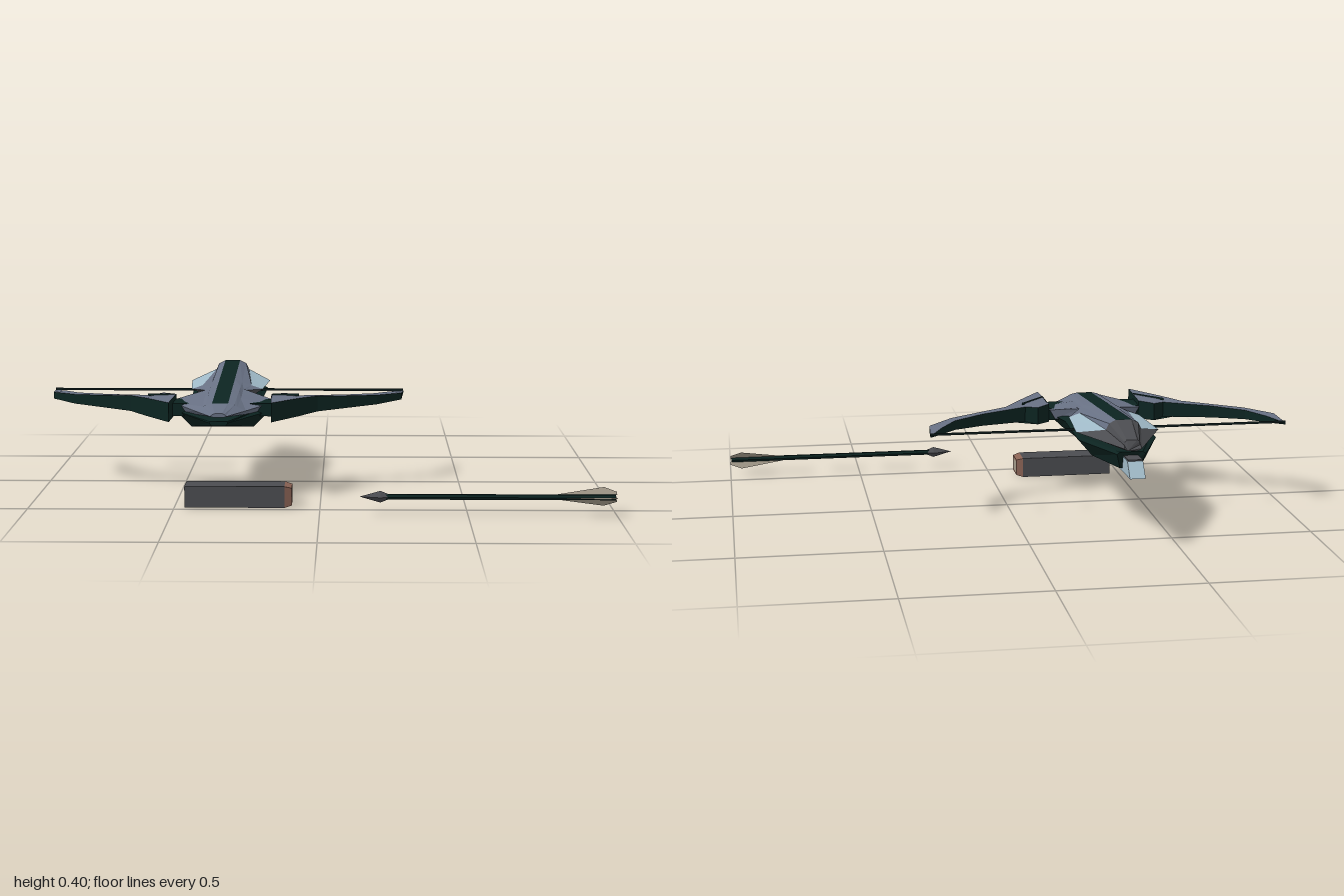
import * as THREE from 'three';

const mat = (name, color, side = THREE.FrontSide) => {
  const m = new THREE.MeshStandardMaterial({ color, side, flatShading: true });
  m.name = name;
  return m;
};

const CX = -0.35; // centre line of the crossbow

// Skin through cross-sections (counter-clockwise seen from the first one).
// pick(segment, strip) gives the material; flip reverses faces of mirrored parts.
function loft(name, rings, pick, startMat, endMat, flip = false) {
  const buckets = new Map();
  const tri = (m, a, b, c) => {
    if (!buckets.has(m)) buckets.set(m, []);
    buckets.get(m).push(...a, ...(flip ? c : b), ...(flip ? b : c));
  };
  const n = rings[0].length;
  for (let i = 0; i < rings.length - 1; i++) {
    for (let k = 0; k < n; k++) {
      const a = rings[i][k], b = rings[i][(k + 1) % n];
      const c = rings[i + 1][(k + 1) % n], d = rings[i + 1][k];
      const m = pick(i, k);
      tri(m, a, d, c);
      tri(m, a, c, b);
    }
  }
  const first = rings[0], last = rings[rings.length - 1];
  for (let k = 1; k < n - 1; k++) {
    tri(startMat, first[0], first[k], first[k + 1]);
    tri(endMat, last[0], last[k + 1], last[k]);
  }
  const group = new THREE.Group();
  group.name = name;
  for (const [m, pos] of buckets) {
    const g = new THREE.BufferGeometry();
    g.setAttribute('position', new THREE.Float32BufferAttribute(pos, 3));
    g.computeVertexNormals();
    const mesh = new THREE.Mesh(g, m);
    mesh.name = `${name} ${m.name}`;
    group.add(mesh);
  }
  return group;
}

// Mirrored ring from half a section listed top to bottom as [x, y, z?]
const symmetric = (z, half) => [
  ...half.slice().reverse().map(([x, y, pz = z]) => [CX + x, y, pz]),
  ...half.map(([x, y, pz = z]) => [CX - x, y, pz]),
];
// Strip number to level: -1 is the top strip, 0 the one below it, and so on
const level = (k, n) => (k < n ? n - 2 - k : k - n);

export function createModel() {
  const model = new THREE.Group();
  const dark = mat('dark green', 0x0c2421);
  const grey = mat('blue grey', 0x687184);
  const pale = mat('pale blue', 0xa0bac8);
  const iron = mat('iron grey', 0x4b4c50);
  const copper = mat('copper', 0x8a6355);
  const tan = mat('tan', 0xa39a8a, THREE.DoubleSide);
  const cord = mat('bowstring black', 0x0c1a1a, THREE.DoubleSide);

  const add = (name, geometry, material, parent = model) => {
    const mesh = new THREE.Mesh(geometry, material);
    mesh.name = name;
    parent.add(mesh);
    return mesh;
  };

  // Upper shell: stripe edge, ridge, panel edge, outer edge, underside
  const upper = [
    symmetric(0.41, [[0.012, 0.318], [0.02, 0.315], [0.025, 0.31], [0.03, 0.308], [0.02, 0.305]]),
    symmetric(0.33, [[0.028, 0.34], [0.05, 0.335], [0.06, 0.33], [0.09, 0.315], [0.07, 0.3]]),
    symmetric(0.2, [[0.028, 0.351], [0.052, 0.346], [0.065, 0.338], [0.17, 0.322], [0.15, 0.29]]),
    symmetric(0.12, [[0.028, 0.358], [0.054, 0.352], [0.065, 0.342], [0.17, 0.325], [0.15, 0.29]]),
    symmetric(0.04, [[0.028, 0.365], [0.055, 0.358], [0.065, 0.35], [0.075, 0.345], [0.06, 0.3]]),
    symmetric(-0.05, [[0.028, 0.372], [0.055, 0.362], [0.09, 0.35], [0.13, 0.336], [0.11, 0.327]]),
    symmetric(-0.38, [[0.028, 0.4], [0.052, 0.388], [0.062, 0.366], [0.148, 0.336, -0.28], [0.12, 0.327, -0.28]]),
    symmetric(-0.52, [[0.018, 0.362], [0.026, 0.355], [0.028, 0.345], [0.03, 0.335, -0.538], [0.02, 0.328, -0.538]]),
  ];
  model.add(loft('upper shell', upper, (i, k) => {
    const l = level(k, 5);
    if (l === 4) return dark;
    if (i === 6) return iron;
    if (l === -1) return i === 0 ? grey : dark;
    if (l === 2 && i === 5) return pale;
    return l === 3 && i > 3 ? iron : grey;
  }, grey, iron));

  // Lower hull
  const lower = [
    symmetric(0.41, [[0.03, 0.29], [0.032, 0.285], [0.025, 0.275]]),
    symmetric(0.21, [[0.14, 0.305], [0.165, 0.295], [0.11, 0.24]]),
    symmetric(0.04, [[0.11, 0.31], [0.128, 0.3], [0.09, 0.242]]),
    symmetric(-0.28, [[0.12, 0.315], [0.14, 0.308], [0.09, 0.25]]),
    symmetric(-0.49, [[0.04, 0.318, -0.51], [0.05, 0.31, -0.51], [0.035, 0.256]]),
  ];
  model.add(loft('lower hull', lower, () => dark, dark, dark));

  // Keel and rear stock, cut from a side profile
  const keel = new THREE.Shape([[-0.07, 0.23], [0.615, 0.25], [0.57, 0.3], [0.49, 0.3], [0.49, 0.27], [-0.07, 0.246]]
    .map(([x, y]) => new THREE.Vector2(x, y)));
  const keelGeo = new THREE.ExtrudeGeometry(keel, { depth: 0.054, bevelEnabled: false });
  keelGeo.translate(0, 0, -0.027).rotateY(Math.PI / 2);
  add('keel', keelGeo, pale).position.x = CX;
  add('stock top plate', new THREE.BoxGeometry(0.05, 0.006, 0.08).translate(CX, 0.302, -0.53), iron);

  // Bow limbs: front edge [u, z], rear edge [u, z], half height, from tip to root
  const limb = [
    [0.65, -0.168, 0.648, -0.168, 0.003],
    [0.64, -0.052, 0.6, -0.09, 0.012],
    [0.55, 0.036, 0.542, -0.008, 0.017],
    [0.44, 0.09, 0.43, 0.06, 0.022],
    [0.335, 0.135, 0.262, 0.124, 0.028],
    [0.27, 0.22, 0.22, 0.09, 0.032],
    [0.178, 0.345, 0.17, 0.135, 0.034],
  ];
  for (const s of [1, -1]) {
    const side = s > 0 ? 'left' : 'right';
    const rings = limb.map(([fu, fz, ru, rz, h]) => {
      const y = 0.311;
      return [[CX + s * fu, y - h, fz], [CX + s * ru, y - h, rz], [CX + s * ru, y + h, rz], [CX + s * fu, y + h, fz]];
    });
    model.add(loft(`${side} bow limb`, rings, (i, k) => (k === 2 ? grey : dark), dark, dark, s < 0));

    // Dark inlay at the root, laid on the limb
    const inlay = [0.349, 0.341].map((y) => [[0.27, 0.15], [0.175, 0.15], [0.175, 0.25]]
      .map(([u, z]) => [CX + s * u, y, z]));
    model.add(loft(`${side} limb inlay`, inlay.map((r) => r.reverse()), () => dark, dark, dark, s < 0));
    add(`${side} limb bracket`, new THREE.BoxGeometry(0.1, 0.045, 0.11).translate(CX + s * 0.15, 0.305, 0.19), dark);
  }

  // Bowstring, an upright ribbon between the limb tips
  add('bowstring', new THREE.PlaneGeometry(1.298, 0.009).translate(CX, 0.318, -0.165), cord);

  // Magazine with a bevelled end cap
  const rect = (x, hy, hz) => [[-1, 1], [-1, -1], [1, -1], [1, 1]]
    .map(([a, b]) => [x, 0.038 + a * hy, 0.423 + b * hz]);
  const box = [rect(-0.097, 0.022, 0.027), rect(-0.097, 0.03, 0.04), rect(-0.122, 0.037, 0.048), rect(-0.465, 0.037, 0.048)];
  model.add(loft('magazine', box, (i) => (i < 2 ? copper : iron), tan, iron));

  // Bolt lying along x
  const bolt = new THREE.Group();
  bolt.name = 'bolt';
  bolt.position.set(0, 0.063, 0.577);
  model.add(bolt);
  add('shaft', new THREE.CylinderGeometry(0.01, 0.01, 0.78, 6).rotateZ(Math.PI / 2).translate(0.605, 0, 0), dark, bolt);
  add('head point', new THREE.ConeGeometry(0.02, 0.07, 4).rotateZ(Math.PI / 2).translate(0.17, 0, 0), iron, bolt);
  add('head back', new THREE.ConeGeometry(0.02, 0.05, 4).rotateZ(-Math.PI / 2).translate(0.23, 0, 0), iron, bolt);
  const fin = new THREE.Shape([[0.785, 0.008], [1, 0.008], [1, 0.02], [0.957, 0.037]]
    .map(([x, y]) => new THREE.Vector2(x, y)));
  for (let i = 0; i < 3; i++) {
    add('fletching', new THREE.ShapeGeometry(fin).rotateX(Math.PI / 2 + (i * Math.PI * 2) / 3), tan, bolt);
  }
  return model;
}
